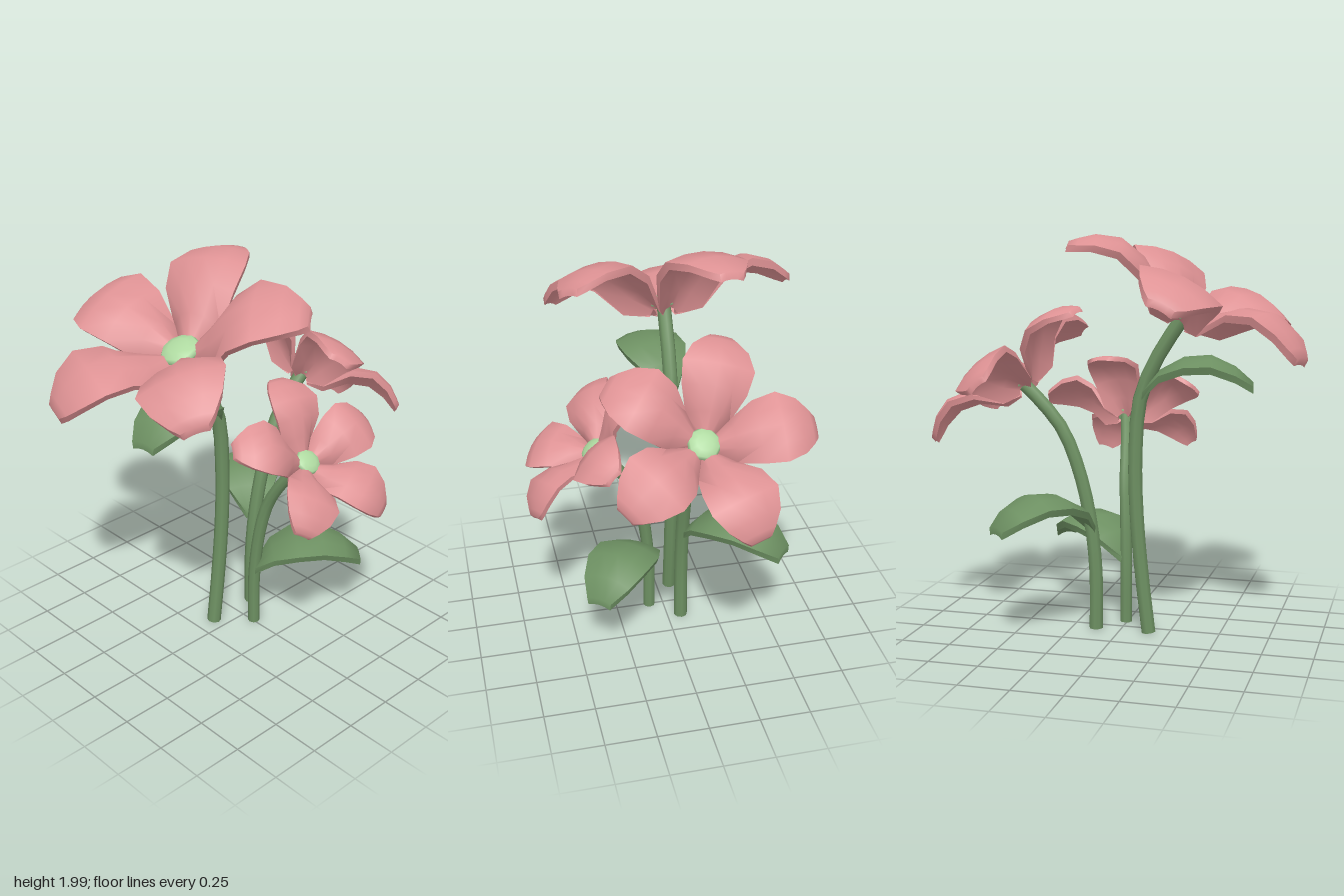
import * as THREE from 'three';
import { toCreasedNormals } from 'three/addons/utils/BufferGeometryUtils.js';

const petalPink = new THREE.MeshStandardMaterial({ name: 'petal pink', color: 0xde9294 });
const leafGreen = new THREE.MeshStandardMaterial({ name: 'leaf green', color: 0x6d9062 });
const centreGreen = new THREE.MeshStandardMaterial({ name: 'pale centre green', color: 0xaed9a0 });

// cross-sections: [distance along, ridge height, half width, droop of the side edges]
const PETAL = [
  [0.06, 0.0, 0.05, 0.04], [0.17, 0.08, 0.13, 0.10], [0.29, 0.165, 0.19, 0.055],
  [0.42, 0.20, 0.21, 0.04], [0.54, 0.165, 0.165, 0.03], [0.61, 0.115, 0.105, 0.02],
  [0.645, 0.085, 0.065, 0.01],
];
const LEAF = [
  [0.0, 0.0, 0.03, 0.01], [0.09, 0.105, 0.115, 0.02], [0.21, 0.17, 0.165, 0.04],
  [0.34, 0.18, 0.165, 0.045], [0.46, 0.125, 0.125, 0.035], [0.545, 0.05, 0.065, 0.015],
];

// closed, arched blade running along +x
function bladeGeometry(sections, thickness) {
  const across = [-1, -0.5, 0, 0.5, 1];
  const n = across.length * 2;
  const pos = [], idx = [];
  for (const [x, h, hw, droop] of sections) {
    for (const w of across) pos.push(x, h - droop * w * w, hw * w);
    for (const w of [...across].reverse()) pos.push(x, h - droop * w * w - thickness, hw * w * 0.92);
  }
  const last = (sections.length - 1) * n;
  for (let i = 0; i < last; i += n) {
    for (let j = 0; j < n; j++) {
      const a = i + j, b = i + (j + 1) % n;
      idx.push(a, b, a + n, b, b + n, a + n);
    }
  }
  // end faces
  for (let j = 0; j < across.length - 1; j++) {
    const p = [j, j + 1, n - 2 - j, n - 1 - j];
    idx.push(last + p[0], last + p[1], last + p[2], last + p[0], last + p[2], last + p[3]);
    idx.push(p[0], p[2], p[1], p[0], p[3], p[2]);
  }
  const geo = new THREE.BufferGeometry();
  geo.setAttribute('position', new THREE.Float32BufferAttribute(pos, 3));
  geo.setIndex(idx);
  return toCreasedNormals(geo, 0.9);
}

const petalGeo = bladeGeometry(PETAL, 0.036);
const leafGeo = bladeGeometry(LEAF, 0.036);

function addMesh(parent, name, geo, mat) {
  const mesh = new THREE.Mesh(geo, mat);
  mesh.name = name;
  parent.add(mesh);
  return mesh;
}

// bent stem with a capped foot
function addStem(parent, points, radius) {
  const curve = new THREE.CatmullRomCurve3(points.map(p => new THREE.Vector3(...p)));
  addMesh(parent, 'stem', new THREE.TubeGeometry(curve, 14, radius, 8), leafGreen);
  const foot = addMesh(parent, 'stemFoot', new THREE.CircleGeometry(radius, 8), leafGreen);
  foot.position.set(...points[0]);
  foot.rotation.x = Math.PI / 2;
}

// five petals around a low domed centre
function addBloom(parent, { position, tilt, scale, turn }) {
  const bloom = new THREE.Group();
  bloom.name = 'bloom';
  for (let k = 0; k < 5; k++) {
    const petal = addMesh(bloom, 'petal', petalGeo, petalPink);
    petal.rotation.y = -THREE.MathUtils.degToRad(turn + 72 * k);
  }
  const centre = addMesh(bloom, 'flowerCentre', new THREE.SphereGeometry(0.1, 10, 6), centreGreen);
  centre.scale.y = 0.38;
  centre.position.y = -0.005;
  bloom.position.set(...position);
  bloom.rotation.set(tilt[0], 0, tilt[1]);
  bloom.scale.setScalar(scale);
  parent.add(bloom);
}

function addLeaf(parent, { position, heading }) {
  const leaf = addMesh(parent, 'leaf', leafGeo, leafGreen);
  leaf.position.set(...position);
  leaf.rotation.y = -THREE.MathUtils.degToRad(heading);
}

const FLOWERS = [
  {
    name: 'tallFlower', radius: 0.036,
    stem: [[-0.15, 0.01, -0.07], [-0.115, 0.3, -0.07], [-0.088, 0.6, -0.07], [-0.08, 0.9, -0.07],
      [-0.105, 1.2, -0.07], [-0.19, 1.4, -0.075], [-0.325, 1.61, -0.08]],
    bloom: { position: [-0.33, 1.62, -0.08], tilt: [0, 0.44], scale: 1, turn: 54 },
    leaf: { position: [-0.11, 1.235, -0.07], heading: 171 },
  },
  {
    name: 'sideFlower', radius: 0.035,
    stem: [[0.125, 0.01, -0.07], [0.125, 0.3, -0.07], [0.15, 0.55, -0.07], [0.205, 0.8, -0.07],
      [0.29, 1.02, -0.075], [0.39, 1.15, -0.08], [0.505, 1.26, -0.08]],
    bloom: { position: [0.51, 1.265, -0.08], tilt: [0, -0.72], scale: 0.805, turn: 54 },
    leaf: { position: [0.14, 0.56, -0.085], heading: -49 },
  },
  {
    name: 'frontFlower', radius: 0.031,
    stem: [[0.005, 0.01, 0.075], [0.005, 0.3, 0.077], [0.015, 0.57, 0.105], [0.03, 0.75, 0.15],
      [0.05, 0.92, 0.25], [0.08, 1.05, 0.36]],
    bloom: { position: [0.08, 1.055, 0.37], tilt: [0.73, 0], scale: 0.67, turn: 62 },
    leaf: { position: [0.005, 0.365, 0.08], heading: 38 },
  },
];

export function createModel() {
  const model = new THREE.Group();
  model.name = 'threeFlowers';
  for (const f of FLOWERS) {
    const flower = new THREE.Group();
    flower.name = f.name;
    addStem(flower, f.stem, f.radius);
    addBloom(flower, f.bloom);
    addLeaf(flower, f.leaf);
    model.add(flower);
  }
  return model;
}
